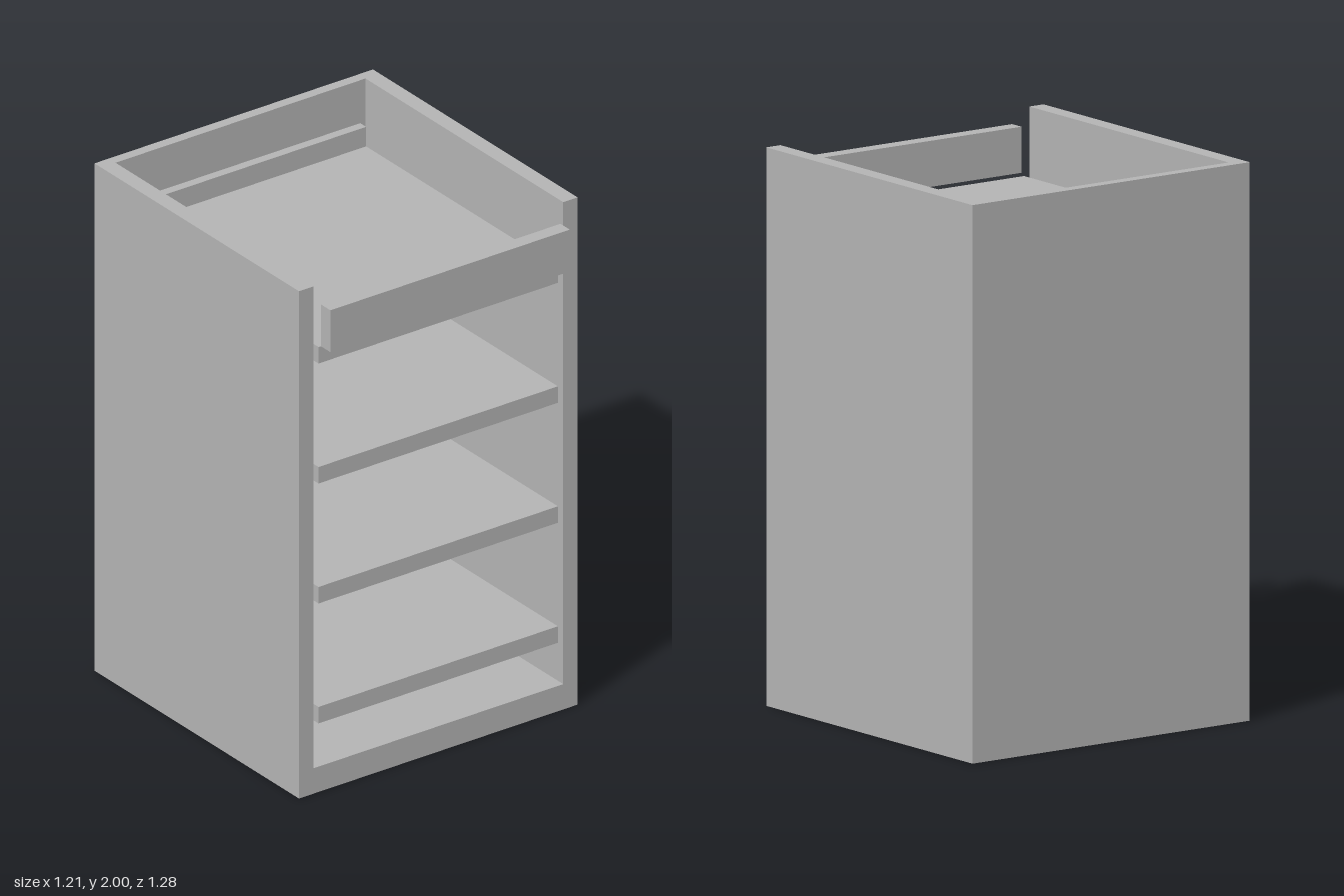
import * as THREE from 'three';

export function createModel() {
  const model = new THREE.Group();
  model.name = 'drawerCabinet';

  const grey = new THREE.MeshStandardMaterial({ color: 0xb4b4b4 });
  grey.name = 'plain grey';

  // Box given by its lower and upper corners
  function addBox(parent, name, [x0, y0, z0], [x1, y1, z1]) {
    const mesh = new THREE.Mesh(new THREE.BoxGeometry(x1 - x0, y1 - y0, z1 - z0), grey);
    mesh.position.set((x0 + x1) / 2, (y0 + y1) / 2, (z0 + z1) / 2);
    mesh.name = name;
    parent.add(mesh);
  }

  const outer = 0.605, inner = 0.543, floorTop = 0.1, height = 2;
  const back = -0.64, backInner = -0.6, front = 0.57;

  // Carcass: U-shaped sides and floor in one piece, closed by a back panel
  const profile = new THREE.Shape([
    [-outer, 0], [outer, 0], [outer, height], [inner, height],
    [inner, floorTop], [-inner, floorTop], [-inner, height], [-outer, height],
  ].map(([x, y]) => new THREE.Vector2(x, y)));
  const carcassGeometry = new THREE.ExtrudeGeometry(profile, { depth: front - backInner, bevelEnabled: false });
  carcassGeometry.translate(0, 0, backInner);
  const carcass = new THREE.Mesh(carcassGeometry, grey);
  carcass.name = 'sidesAndFloor';
  model.add(carcass);
  addBox(model, 'backPanel', [-outer, 0, back], [outer, height, backInner]);

  // Four shelves, each with a raised lip along the back
  const shelfHalf = 0.52, shelfThickness = 0.065, lipHeight = 0.077, lipFront = -0.565;
  for (let i = 0; i < 4; i++) {
    const bottom = 0.27 + i * 0.473;
    const top = bottom + shelfThickness;
    const shelf = new THREE.Group();
    shelf.name = 'shelf' + (i + 1);
    addBox(shelf, 'shelfBoard', [-shelfHalf, bottom, backInner], [shelfHalf, top, front]);
    addBox(shelf, 'shelfBackLip', [-shelfHalf, top, backInner], [shelfHalf, top + lipHeight, lipFront]);
    model.add(shelf);
  }

  // Rail standing just clear of the front at the top
  addBox(model, 'frontRail', [-shelfHalf, 1.763, 0.585], [shelfHalf, 1.928, 0.64]);

  return model;
}
